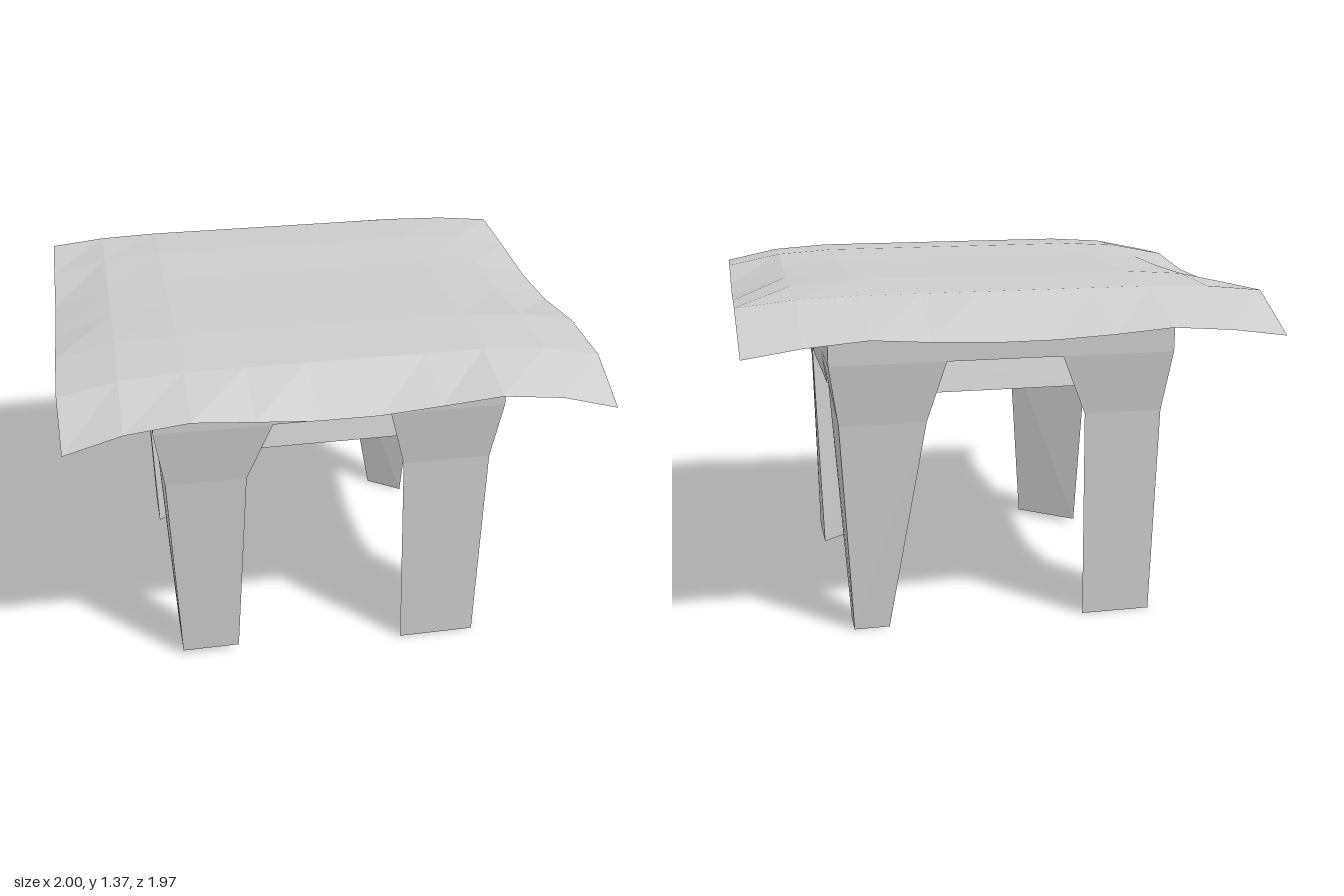
import * as THREE from 'three';
import { ConvexGeometry } from 'three/addons/geometries/ConvexGeometry.js';

const v = (x, y, z) => new THREE.Vector3(x, y, z);

export function createModel() {
  const group = new THREE.Group();
  group.name = 'table';
  const material = new THREE.MeshStandardMaterial({ color: 0xcccccc, flatShading: true });
  const clothMaterial = material.clone();
  clothMaterial.side = THREE.DoubleSide;

  const add = (name, geometry, mat = material, parent = group) => {
    const mesh = new THREE.Mesh(geometry, mat);
    mesh.name = name;
    parent.add(mesh);
    return mesh;
  };

  // Skirt below the top
  const skirtTop = 1.335, skirtBottom = 1.09, front = 0.68, back = -0.66;
  add('skirt', new THREE.BoxGeometry(1.34, skirtTop - skirtBottom, front - back))
    .position.set(0, (skirtTop + skirtBottom) / 2, (front + back) / 2);

  // Underside block between the legs: slanted end panels, slightly arched sides
  const block = [];
  for (const sx of [-1, 1]) {
    block.push(v(sx * 0.67, 1.0, 0));
    for (const sz of [-1, 1]) {
      block.push(
        v(sx * 0.67, skirtBottom, sz * 0.37), v(sx * 0.655, 0.97, sz * 0.41),
        v(sx * 0.3, skirtBottom, sz * 0.6), v(sx * 0.3, 0.965, sz * 0.63));
    }
  }
  add('underside', new ConvexGeometry(block));

  // Three-sided corner legs, each a tapered post under a flared bracket.
  // foot: outer x, inner x, outer z, inner z, height; innerX: post width at the knee
  const legs = [
    { name: 'frontLeftLeg', sx: 1, sz: 1, foot: [0.62, 0.31, 0.65, 0.41, 0], innerX: 0.29 },
    { name: 'frontRightLeg', sx: -1, sz: 1, foot: [0.6, 0.37, 0.61, 0.42, 0.02], innerX: 0.325 },
    { name: 'backLeftLeg', sx: 1, sz: -1, foot: [0.59, 0.45, 0.585, 0.48, 0], innerX: 0.3 },
    { name: 'backRightLeg', sx: -1, sz: -1, foot: [0.62, 0.34, 0.615, 0.41, 0], innerX: 0.325 },
  ];
  for (const { name, sx, sz, foot, innerX } of legs) {
    const [xo, xi, zo, zi, y] = foot;
    const topZ = sz > 0 ? front : -back;
    const kneeZ = topZ - 0.03;
    const corner = (px, py, pz) => v(sx * px, py, sz * pz);
    const bottom = [corner(xo, y, zo), corner(xi, y, zo), corner(xo, y, zi)];
    const knee = [corner(0.635, 0.85, kneeZ), corner(innerX, 0.85, kneeZ), corner(0.65, 0.97, 0.41)];
    const top = [corner(0.67, skirtBottom, topZ), corner(0.225, skirtBottom, topZ), corner(0.67, skirtBottom, 0.35)];
    const leg = new THREE.Group();
    leg.name = name;
    add('post', new ConvexGeometry([...bottom, ...knee]), material, leg);
    add('bracket', new ConvexGeometry([...knee, ...top]), material, leg);
    group.add(leg);
  }

  // Draped cloth: rows run back to front, columns mirror about x = 0
  const columns = [0.11, 0.33, 0.55, 0.78, 0.99];
  const droop = [0, 0, 0, 0.25, 1];
  const backHem = [1.222, 1.232, 1.248, 1.23, 1.2];
  const frontHem = [1.252, 1.268, 1.293, 1.26, 1.2];
  const rows = [ // z, middle height, side edge height
    [-0.69, 1.355, 1.325], [-0.41, 1.37, 1.305], [-0.12, 1.367, 1.277],
    [0.16, 1.367, 1.28], [0.45, 1.373, 1.315], [0.73, 1.36, 1.3],
  ];
  const cloth = new THREE.PlaneGeometry(2, 2, 9, 7).rotateX(-Math.PI / 2);
  const position = cloth.attributes.position;
  for (let r = 0; r < 8; r++) {
    for (let c = 0; c < 10; c++) {
      const k = c < 5 ? 4 - c : c - 5;
      const x = (c < 5 ? -1 : 1) * columns[k];
      let z, y;
      if (r === 0) {
        z = -0.975 - 0.012 * x;
        y = backHem[k];
      } else if (r === 7) {
        z = 0.97 + (k === 2 ? 0.012 : 0);
        y = frontHem[k];
      } else {
        const [rowZ, middle, edge] = rows[r - 1];
        z = rowZ;
        y = THREE.MathUtils.lerp(middle, edge, droop[k]);
      }
      position.setXYZ(r * 10 + c, x + (k === 4 && r > 0 && r < 7 ? Math.sign(x) * 0.008 : 0), y, z);
    }
  }
  cloth.computeVertexNormals();
  add('cloth', cloth, clothMaterial);

  return group;
}
